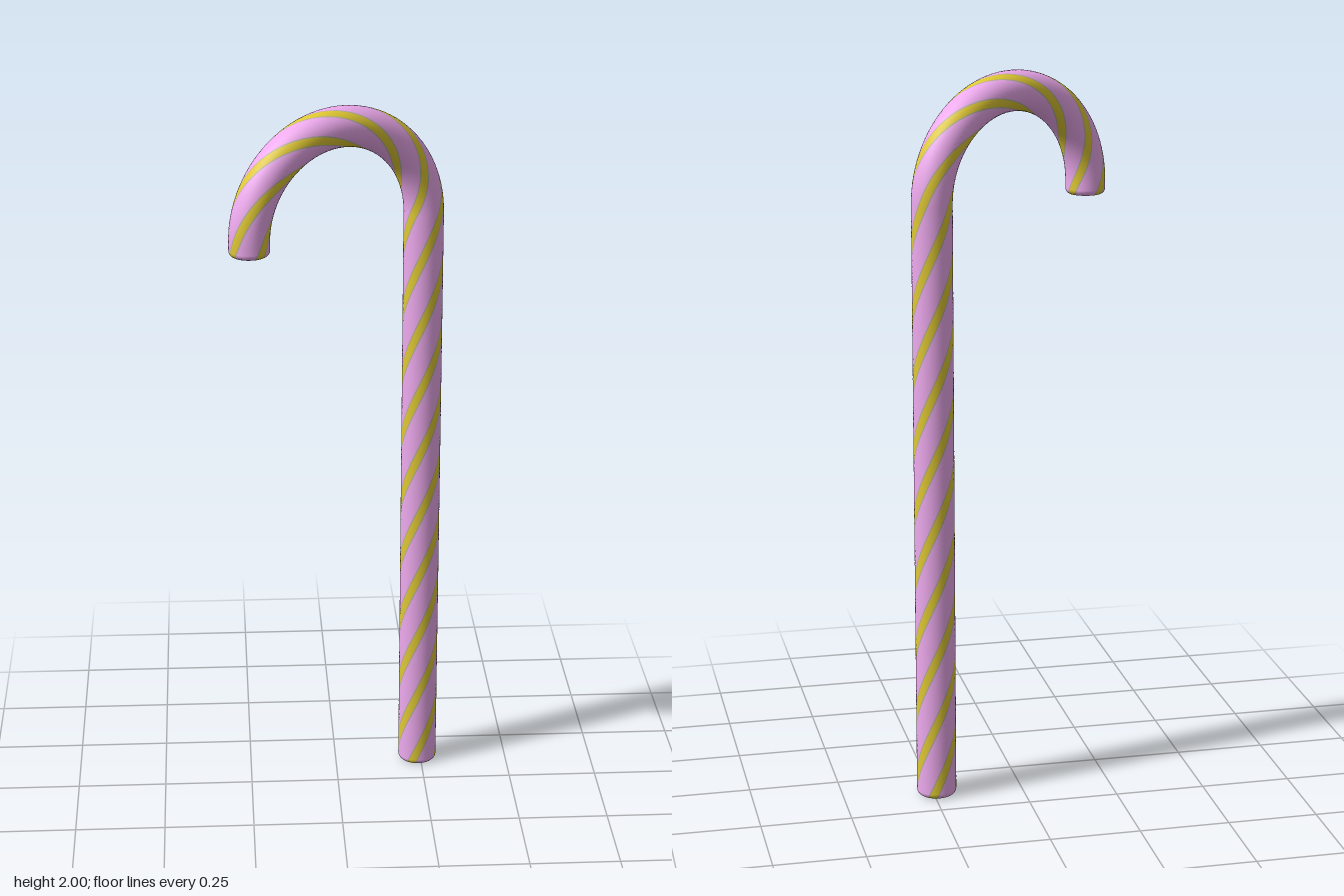
import * as THREE from 'three';

const R = 0.273;          // radius of the crook
const r = 0.055;          // radius of the stick
const SHAFT = 1.672;      // length of the straight shaft
const TAIL = 0.037;       // short straight piece at the hook's end
const ARC = Math.PI * R;
const TOTAL = SHAFT + ARC + TAIL;
const PITCH = 0.756;      // length of one full twist
const STARTS = 4;         // number of stripes
const FILLET = 0.016;

const up = new THREE.Vector3(0, 1, 0);
const across = new THREE.Vector3(0.879, 0, -0.476).normalize(); // crook to shaft
const side = new THREE.Vector3(-across.z, 0, across.x);         // normal of the crook's plane

// Centre, outward and tangent of the centre line at length s
function frameAt(s) {
  const a = THREE.MathUtils.clamp((s - SHAFT) / R, 0, Math.PI);
  const straight = s < SHAFT ? s - SHAFT : Math.max(0, s - SHAFT - ARC);
  const out = across.clone().multiplyScalar(Math.cos(a)).addScaledVector(up, Math.sin(a));
  const tan = across.clone().multiplyScalar(-Math.sin(a)).addScaledVector(up, Math.cos(a));
  const pos = out.clone().multiplyScalar(R).addScaledVector(tan, straight);
  pos.y += SHAFT;
  return { pos, out, tan };
}

// Stations along the stick: rounded start, body, rounded end
function makeStations() {
  const list = [];
  const fillet = 5, body = 150;
  for (let i = 0; i < fillet; i++) {
    const t = (i / fillet) * Math.PI / 2;
    list.push({ s: FILLET * (1 - Math.cos(t)), rad: r - FILLET * (1 - Math.sin(t)), tilt: t - Math.PI / 2 });
  }
  for (let i = 0; i <= body; i++) {
    list.push({ s: FILLET + (TOTAL - 2 * FILLET) * i / body, rad: r, tilt: 0 });
  }
  for (let i = fillet - 1; i >= 0; i--) {
    const m = list[i];
    list.push({ s: TOTAL - m.s, rad: m.rad, tilt: -m.tilt });
  }
  return list;
}
const stations = makeStations();

// One twisted band of the surface between two angles
function bandGeometry(from, to, segments) {
  const positions = [], normals = [], index = [];
  const row = segments + 1;
  stations.forEach(({ s, rad, tilt }, i) => {
    const { pos, out, tan } = frameAt(s);
    const twist = (s - 2.19) / PITCH * Math.PI * 2;
    for (let j = 0; j <= segments; j++) {
      const phi = twist + from + (to - from) * j / segments;
      const radial = out.clone().multiplyScalar(Math.sin(phi)).addScaledVector(side, Math.cos(phi));
      const p = pos.clone().addScaledVector(radial, rad);
      const n = radial.multiplyScalar(Math.cos(tilt)).addScaledVector(tan, Math.sin(tilt));
      positions.push(p.x, p.y, p.z);
      normals.push(n.x, n.y, n.z);
      if (i > 0 && j < segments) {
        const b = i * row + j, a = b - row;
        index.push(a, a + 1, b + 1, a, b + 1, b);
      }
    }
  });
  const g = new THREE.BufferGeometry();
  g.setAttribute('position', new THREE.Float32BufferAttribute(positions, 3));
  g.setAttribute('normal', new THREE.Float32BufferAttribute(normals, 3));
  g.setIndex(index);
  return g;
}

export function createModel() {
  const group = new THREE.Group();
  group.name = 'candyCane';
  const pink = new THREE.MeshStandardMaterial({ color: 0xeeaaee });
  const yellow = new THREE.MeshStandardMaterial({ color: 0xe0c832 });
  const blend = new THREE.MeshStandardMaterial({ color: 0xb4b09c });

  const add = (geometry, material, name) => {
    const mesh = new THREE.Mesh(geometry, material);
    mesh.name = name;
    group.add(mesh);
    return mesh;
  };

  // Stripes with thin muted borders, and the pink bands between them
  const half = 0.2, edge = 0.07, step = Math.PI * 2 / STARTS;
  for (let k = 0; k < STARTS; k++) {
    const c = k * step;
    add(bandGeometry(c - half, c + half, 3), yellow, 'stripe');
    add(bandGeometry(c - half - edge, c - half, 1), blend, 'stripeBorder');
    add(bandGeometry(c + half, c + half + edge, 1), blend, 'stripeBorder');
    add(bandGeometry(c + half + edge, c + step - half - edge, 8), pink, 'pinkBand');
  }

  // Flat end faces, both pointing down
  for (const [s, name] of [[0, 'shaftEnd'], [TOTAL, 'hookEnd']]) {
    const cap = add(new THREE.CircleGeometry(r - FILLET, 48), pink, name);
    cap.rotation.x = Math.PI / 2;
    cap.position.copy(frameAt(s).pos);
  }
  return group;
}
